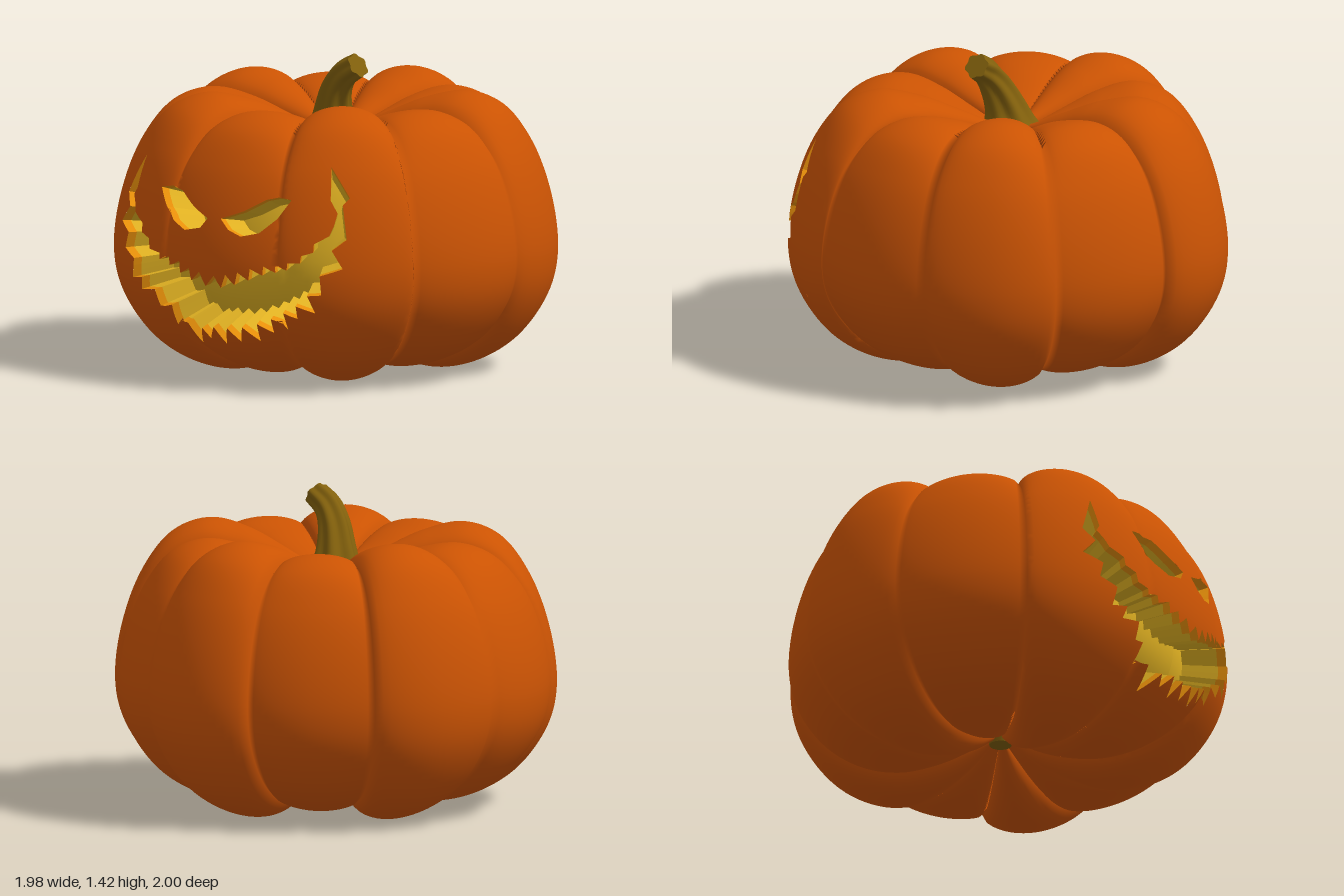
import * as THREE from 'three';
import { mergeGeometries } from 'three/addons/utils/BufferGeometryUtils.js';

const V3 = (x, y, z) => new THREE.Vector3(x, y, z);
const V2 = (x, y) => new THREE.Vector2(x, y);
const NT = 96, NA = 180, VS = 2.9;          // body grid, and scale of the height parameter
const CENTRE = V3(0, 0.6, 0);

// Half profiles [radius, height] along a lobe's crest and along a groove
const profile = pts => new THREE.CatmullRomCurve3(pts.map(([r, y]) => V3(r, y, 0)));
const crest = profile([[.02, .2], [.15, .1], [.3, .03], [.47, .0], [.65, .04], [.82, .15], [.95, .34], [.99, .52],
  [.96, .78], [.87, 1.03], [.75, 1.19], [.6, 1.25], [.42, 1.22], [.25, 1.15], [.1, 1.08], [.02, 1.05]]);
const groove = profile([[.02, .2], [.15, .16], [.3, .115], [.47, .09], [.63, .12], [.79, .22], [.91, .38], [.95, .54],
  [.92, .78], [.83, .99], [.7, 1.11], [.56, 1.15], [.4, 1.13], [.25, 1.09], [.1, 1.05], [.02, 1.04]]);
// Per lobe and per groove, from front to back
const lobeSize = [1.005, 1.022, 1.002, 1.012, .955, 1.01];
const lobeTop = [.94, 1, .94, 1, .94, 1];
const lobeBottom = [.96, 1, .92, 1, .93, 1];
const grooveSize = [1.03, 1.03, 1.02, .985, .965];

function bodyProfile(a, t) {
  const w = Math.pow(Math.abs(Math.cos(5 * a)), .45);
  const s = Math.abs(a) / (Math.PI / 5), k = Math.min(5, Math.round(s));
  const L = crest.getPoint(t), G = groove.getPoint(t);
  L.x *= lobeSize[k];
  L.y = .6 + (L.y - .6) * (L.y > .6 ? lobeTop : lobeBottom)[k];
  G.x *= grooveSize[Math.min(4, Math.floor(s))];
  return G.lerp(L, w);
}
function body(a, t) {
  const p = bodyProfile(a, t);
  return V3(p.x * Math.sin(a), p.y, p.x * Math.cos(a));
}
const shrunk = (p, s) => p.clone().sub(CENTRE).multiplyScalar(s).add(CENTRE);

// Smooth normal of a surface f(u, v), v in 0..1
function normalAt(f, u, v) {
  const e = .002, c = Math.min(Math.max(v, .003), .997);
  const du = f(u + e, c).sub(f(u - e, c)), dv = f(u, c + e).sub(f(u, c - e));
  return du.cross(dv).normalize();
}
function geometryFrom(tris, f) {
  const pos = [], nor = [], cache = new Map();
  for (const [u, v] of tris) {
    const key = u.toFixed(6) + ',' + v.toFixed(6);
    if (!cache.has(key)) cache.set(key, [f(u, v).toArray(), normalAt(f, u, v).toArray()]);
    const [p, n] = cache.get(key);
    pos.push(...p);
    nor.push(...n);
  }
  const g = new THREE.BufferGeometry();
  g.setAttribute('position', new THREE.Float32BufferAttribute(pos, 3));
  g.setAttribute('normal', new THREE.Float32BufferAttribute(nor, 3));
  return g;
}
// Regular grid over a parameter rectangle, with optional skipped cells
function grid(f, u0, u1, nu, v0, v1, nv, skip = () => false) {
  const tris = [];
  const at = (i, j) => [u0 + (u1 - u0) * i / nu, v0 + (v1 - v0) * j / nv];
  for (let i = 0; i < nu; i++) for (let j = 0; j < nv; j++) {
    if (skip(i, j)) continue;
    const a = at(i, j), b = at(i + 1, j), c = at(i + 1, j + 1), d = at(i, j + 1);
    tris.push(a, b, c, a, c, d);
  }
  return geometryFrom(tris, f);
}

// Find the body parameters under a point of the front drawing
function project([x, y]) {
  let a = 0, t = .5;
  for (let n = 0; n < 30; n++) {
    let lo = .25, hi = .72;
    for (let k = 0; k < 22; k++) {
      t = (lo + hi) / 2;
      if (bodyProfile(a, t).y < y) lo = t; else hi = t;
    }
    const s = Math.max(-.99, Math.min(.99, x / bodyProfile(a, t).x));
    a = (a + Math.asin(s)) / 2;
  }
  return V2(a, t * VS);
}

// Jagged edge: between neighbouring tips, a notch moved towards (or from) the face centre
function saw(tips, base, slope) {
  const out = [];
  tips.forEach((p, i) => {
    out.push(p);
    if (i === tips.length - 1) return;
    const q = tips[i + 1], m = V2((p[0] + q[0]) / 2, (p[1] + q[1]) / 2);
    const dir = V2(0, .85).sub(m).normalize();
    m.addScaledVector(dir, base + slope * Math.abs(m.x));
    out.push([m.x, m.y]);
  });
  return out;
}

// Carved outlines
const rightEye = [[-.36, .88], [-.295, .892], [-.23, .88], [-.14, .82], [-.055, .78], [-.09, .735], [-.18, .715], [-.26, .75], [-.31, .8]];
const leftEye = [[.335, .885], [.27, .892], [.22, .88], [.125, .825], [.015, .785], [.06, .74], [.125, .715], [.21, .735], [.28, .8]];
const lowerLip = saw([[-.61, .82], [-.635, .69], [-.58, .58], [-.52, .455], [-.46, .41], [-.355, .345], [-.295, .26],
  [-.185, .18], [-.1, .22], [-.02, .2], [.065, .22], [.16, .23], [.235, .275], [.31, .295], [.375, .355], [.46, .385],
  [.495, .47], [.58, .59], [.585, .72]], .075, -.04);
const upperLip = saw([[-.535, .85], [-.535, .79], [-.455, .71], [-.4, .65], [-.33, .595], [-.27, .585], [-.2, .575],
  [-.14, .55], [-.08, .54], [0, .53], [.06, .54], [.12, .555], [.18, .575], [.24, .59], [.29, .59], [.35, .61],
  [.41, .645], [.46, .7], [.53, .78], [.5, .89]], -.06, .075);
const mouth = [[-.52, .995], ...lowerLip, [.55, .87], [.57, .9], [.47, 1.03], ...upperLip.reverse()];

// Cut a triangle along the line u = c, so that no face bridges a groove
function cutAt(tri, c) {
  return [1, -1].flatMap(s => {
    const poly = [];
    tri.forEach((p, i) => {
      const q = tri[(i + 1) % 3], dp = (p.x - c) * s, dq = (q.x - c) * s;
      if (dp >= 0) poly.push(p);
      if (dp * dq < 0) poly.push(V2(c, p.y + (q.y - p.y) * dp / (dp - dq)));
    });
    return poly.slice(2).map((p, i) => [poly[0], poly[i + 1], p]);
  });
}

// Front panel: a parameter rectangle with the carved holes, split finely to follow the curve
function carvedPanel(a1, t0, t1, holes) {
  const rim = [], na = 54, nt = Math.round((t1 - t0) * NT);
  const side = (p, q, n) => { for (let i = 0; i < n; i++) rim.push(p.clone().lerp(q, i / n)); };
  const c = [V2(-a1, t0 * VS), V2(a1, t0 * VS), V2(a1, t1 * VS), V2(-a1, t1 * VS)];
  c.forEach((p, i) => side(p, c[(i + 1) % 4], i % 2 ? nt : na));
  const loops = holes.map(h => THREE.ShapeUtils.isClockWise(h) ? h.slice() : h.slice().reverse());
  const pts = [rim, ...loops].flat(), out = [];
  const stack = THREE.ShapeUtils.triangulateShape(rim, loops).map(f => f.map(i => pts[i]))
    .flatMap(t => cutAt(t, -a1 / 3)).flatMap(t => cutAt(t, a1 / 3));
  while (stack.length) {
    const t = stack.pop(), len = t.map((p, i) => p.distanceTo(t[(i + 1) % 3]));
    const i = len.indexOf(Math.max(...len));
    const [p, q, r] = [t[i], t[(i + 1) % 3], t[(i + 2) % 3]];
    if (len[i] > .037) {
      const m = p.clone().add(q).multiplyScalar(.5);
      stack.push([p, m, r], [m, q, r]);
    } else {
      const ccw = (q.x - p.x) * (r.y - p.y) - (q.y - p.y) * (r.x - p.x) > 0;
      for (const k of ccw ? [p, q, r] : [p, r, q]) out.push([k.x, k.y / VS]);
    }
  }
  return geometryFrom(out, body);
}

// Side walls of a carved hole, running towards the body's centre
function holeWall(loop, s0, s1) {
  const pos = [], pts = [];
  loop.forEach((p, i) => {
    const q = loop[(i + 1) % loop.length], n = Math.max(1, Math.ceil(p.distanceTo(q) / .037));
    for (let k = 0; k < n; k++) { const m = p.clone().lerp(q, k / n); pts.push(body(m.x, m.y / VS)); }
  });
  pts.forEach((p, i) => {
    const q = pts[(i + 1) % pts.length];
    const a = shrunk(p, s0), b = shrunk(q, s0), c = shrunk(q, s1), d = shrunk(p, s1);
    for (const k of [a, b, c, a, c, d]) pos.push(k.x, k.y, k.z);
  });
  const g = new THREE.BufferGeometry();
  g.setAttribute('position', new THREE.Float32BufferAttribute(pos, 3));
  g.computeVertexNormals();
  return g;
}

export function createModel() {
  const group = new THREE.Group();
  const material = (name, color, side = THREE.FrontSide) => {
    const m = new THREE.MeshStandardMaterial({ color, side });
    m.name = name;
    return m;
  };
  const orange = material('pumpkin orange', 0xcb5303);
  const yellow = material('carved yellow', 0xdfb022, THREE.DoubleSide);
  const amber = material('amber rim', 0xe8900a, THREE.DoubleSide);
  const olive = material('stem olive', 0x82600c);
  const add = (name, geo, mat) => {
    const m = new THREE.Mesh(geo, mat);
    m.name = name;
    group.add(m);
    return m;
  };

  // Ribbed body with the carved front panel
  const a1 = .3 * Math.PI, j0 = 12, j1 = 84;
  const holes = [rightEye, leftEye, mouth].map(h => h.map(project));
  const shell = grid(body, -Math.PI, Math.PI, NA, 0, 1, NT, (i, j) => i >= 63 && i < 117 && j >= j0 && j < j1);
  add('pumpkinBody', mergeGeometries([shell, carvedPanel(a1, j0 / NT, j1 / NT, holes)]), orange);

  // Carved openings and the lining behind them
  ['rightEye', 'leftEye', 'mouth'].forEach((name, i) => {
    add(name + 'Rim', holeWall(holes[i], 1, .96), amber);
    add(name + 'Wall', holeWall(holes[i], .96, .8), yellow);
  });
  add('innerLining', grid((a, t) => shrunk(body(a, t), .8), -a1, a1, 54, .15, .85, 40), yellow);

  // Bent, ridged stem with a flared foot and a cut end
  const path = new THREE.CatmullRomCurve3([V3(-.01, 1.03, .02), V3(.005, 1.14, .04), V3(.045, 1.25, .07), V3(.1, 1.32, .09), V3(.18, 1.37, .1)]);
  const stem = (a, v) => {
    const T = path.getTangent(v), n1 = V3(0, 0, 1).cross(T).normalize(), n2 = T.clone().cross(n1);
    const r = (.054 + .022 * (1 - v) + .05 * Math.pow(1 - v, 4)) * (1 + .09 * Math.cos(6 * a + v * 1.5));
    return path.getPoint(v).addScaledVector(n1, r * Math.cos(a)).addScaledVector(n2, r * Math.sin(a));
  };
  const tip = path.getPoint(1);
  add('stem', grid(stem, 0, 2 * Math.PI, 48, 0, 1, 24), olive);
  add('stemEnd', grid((a, v) => stem(a, 1).lerp(tip, v), 0, 2 * Math.PI, 48, 0, 1, 2), olive);

  // Small scar under the body
  add('bottomScar', new THREE.CylinderGeometry(.06, .05, .06, 16), olive).position.y = .2;
  return group;
}
